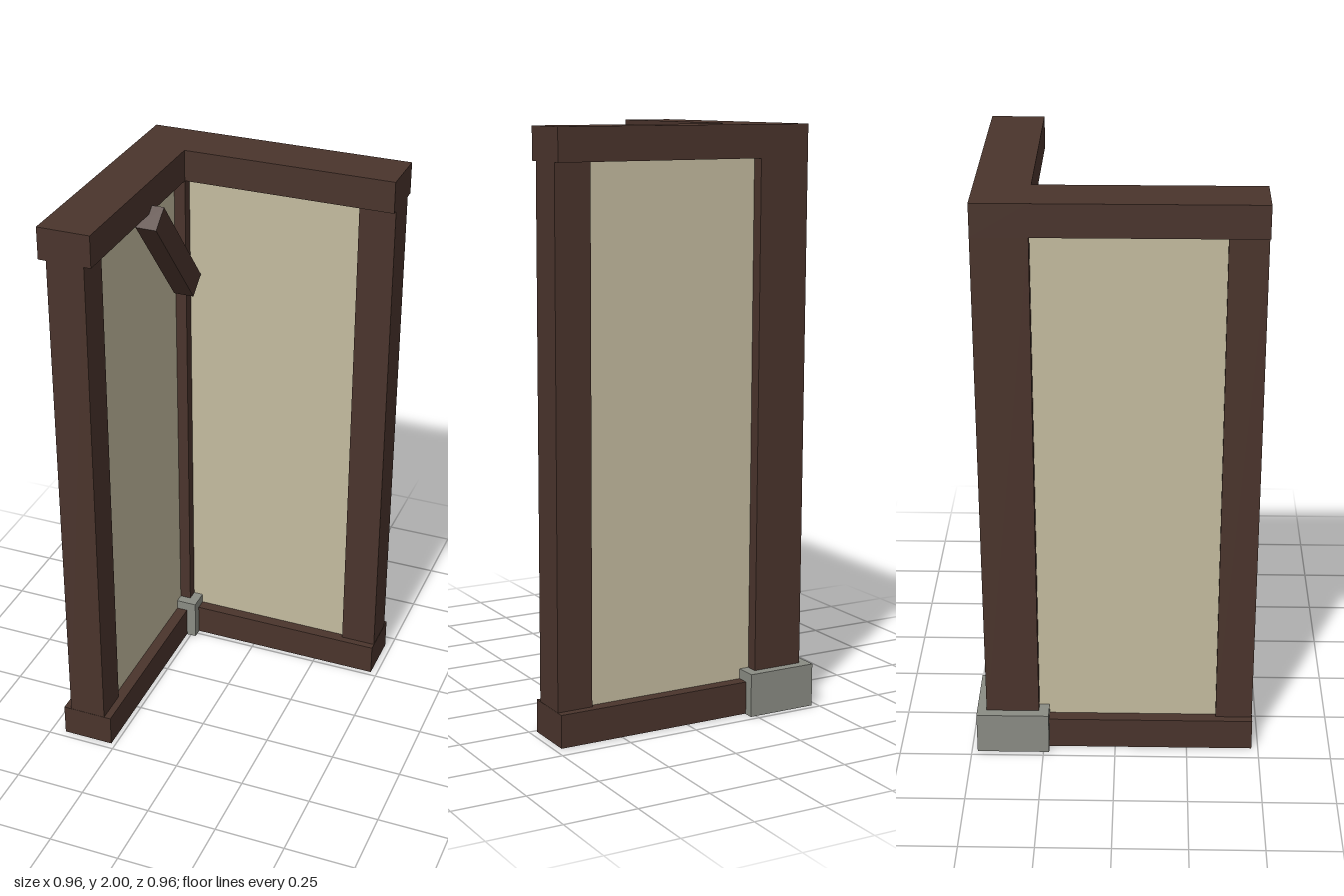
import * as THREE from 'three';

const mat = (name, color) => {
  const m = new THREE.MeshStandardMaterial({ color });
  m.name = name;
  return m;
};

export function createModel() {
  const wood = mat('dark wood', 0x4a342c);
  const plaster = mat('plaster', 0xc4bb9f);
  const stone = mat('grey stone', 0x8a8c84);
  const root = new THREE.Group();
  root.name = 'cornerWall';

  // Box given by its minimum and maximum corners
  const box = (parent, name, material, [x0, y0, z0], [x1, y1, z1]) => {
    const mesh = new THREE.Mesh(new THREE.BoxGeometry(x1 - x0, y1 - y0, z1 - z0), material);
    mesh.position.set((x0 + x1) / 2, (y0 + y1) / 2, (z0 + z1) / 2);
    mesh.name = name;
    parent.add(mesh);
  };

  const outer = -0.447, inner = -0.265, end = 0.477; // wall thickness and arm end
  const sill = 0.115, head = 1.89; // bottom and top beam limits
  const postBack = -0.42, postFront = -0.29;

  // One wall arm; the side arm swaps x and z and butts against the back arm
  const addArm = (name, swap) => {
    const arm = new THREE.Group();
    arm.name = name;
    const put = (part, material, u0, y0, w0, u1, y1, w1) => swap
      ? box(arm, part, material, [w0, y0, u0], [w1, y1, u1])
      : box(arm, part, material, [u0, y0, w0], [u1, y1, w1]);
    const start = swap ? inner : outer;
    put('bottomBeam', wood, start, 0.002, outer, end, sill, inner);
    put('topBeam', wood, start, head, outer, end, 2, inner);
    put('endPost', wood, 0.35, sill, postBack, end - 0.001, head, postFront);
    put('panel', plaster, inner, sill, -0.405, 0.35, head, -0.305);
    root.add(arm);
  };
  addArm('backWall', false);
  addArm('sideWall', true);

  // Corner post standing on a stone foot
  box(root, 'cornerPost', wood, [outer, sill, outer], [inner, head, inner]);
  box(root, 'cornerFoot', stone, [-0.48, 0, -0.48], [-0.23, 0.15, -0.23]);

  // Diagonal brace on the inside of the side wall
  const brace = new THREE.Mesh(new THREE.BoxGeometry(0.073, 0.486, 0.088), wood);
  brace.name = 'brace';
  brace.position.set(-0.2585, 1.695, -0.109);
  brace.rotation.x = THREE.MathUtils.degToRad(39);
  root.add(brace);

  return root;
}
